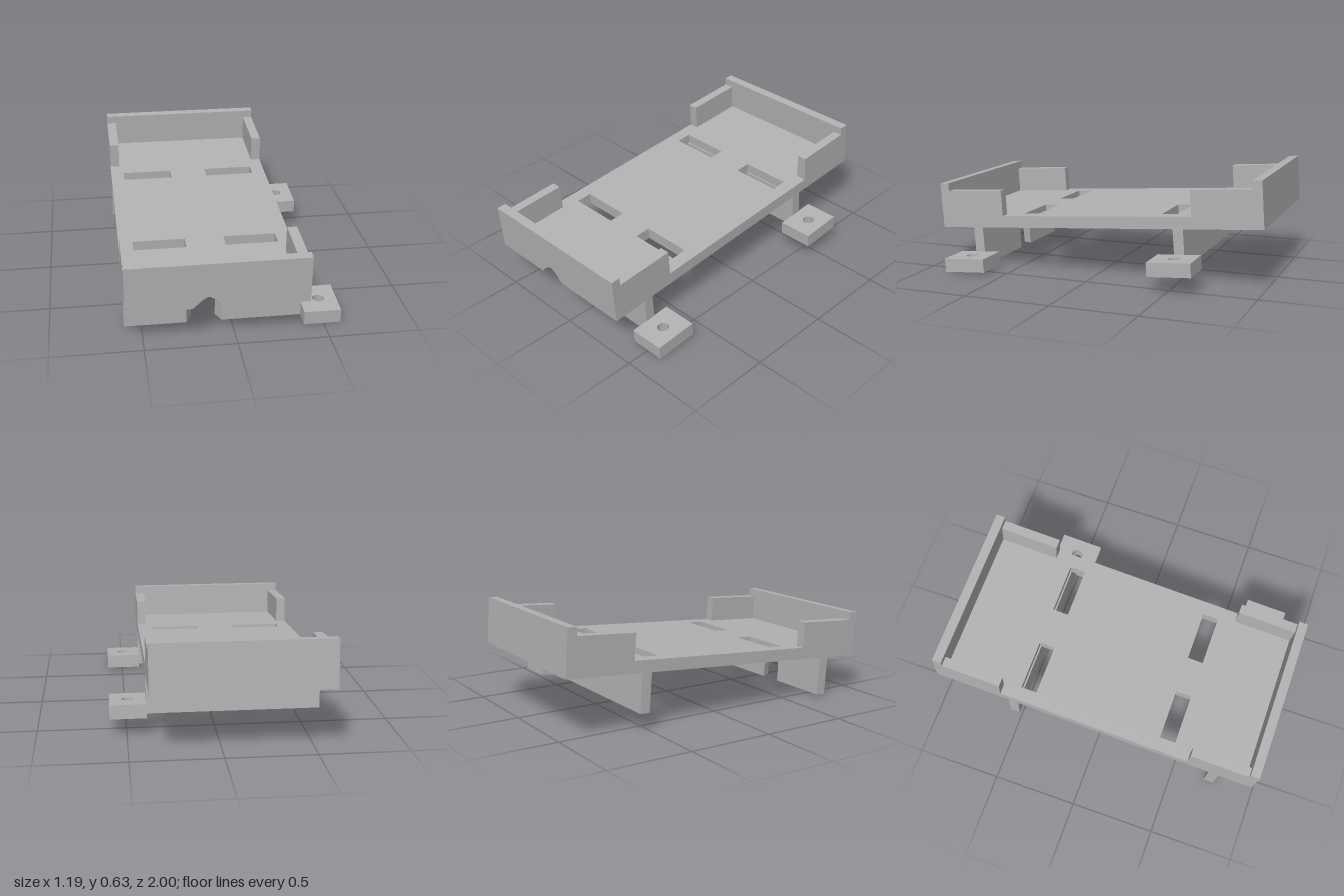
import * as THREE from 'three';

const X0 = -0.595, X1 = 0.392, W = X1 - X0, CX = (X0 + X1) / 2;
const L = 0.9925;      // half length of the tray
const FLOOR = 0.07;    // floor thickness
const LIP = 0.0545;    // end wall thickness
const NOTCH = 0.11;    // depth of the relief under the front wall
const ARCH_X = -0.152, ARCH_Y = -0.1365;

const grey = new THREE.MeshStandardMaterial({ color: 0xb2b2b2 });
grey.name = 'grey plastic';

function mesh(name, geometry, parent) {
  const m = new THREE.Mesh(geometry, grey);
  m.name = name;
  parent.add(m);
  return m;
}

function box(x0, x1, y0, y1, z0, z1, sx = 1, sz = 1) {
  return new THREE.BoxGeometry(x1 - x0, y1 - y0, z1 - z0, sx, 1, sz)
    .translate((x0 + x1) / 2, (y0 + y1) / 2, (z0 + z1) / 2);
}

function rectangle(Type, x0, x1, z0, z1) {
  return new Type([[x0, -z1], [x1, -z1], [x1, -z0], [x0, -z0]]
    .map(([x, y]) => new THREE.Vector2(x, y)));
}

// Flat plate lying in x-z, extruded upward from y0
function plate(shape, y0, height) {
  return new THREE.ExtrudeGeometry(shape, { depth: height, bevelEnabled: false, curveSegments: 24 })
    .rotateX(-Math.PI / 2).translate(0, y0, 0);
}

// Raises the bottom vertices into a bell-shaped relief at the front edge
function carveRelief(geometry) {
  const p = geometry.attributes.position;
  for (let i = 0; i < p.count; i++) {
    if (p.getY(i) > 0.001) continue;
    const r = Math.hypot((p.getX(i) - ARCH_X) / 0.085, (L - p.getZ(i)) / NOTCH);
    if (r < 1) p.setY(i, 0.069 * (1 - Math.pow(r, 1.4)));
  }
  const flat = geometry.toNonIndexed();
  flat.computeVertexNormals();
  return flat;
}

// Outline of the front leg with an arched opening of the given radius
function archOutline(r, bottom) {
  const pts = [[X0, bottom], [ARCH_X - r, bottom]];
  for (let i = 0; i <= 24; i++) {
    const a = Math.PI * (1 - i / 24);
    pts.push([ARCH_X + r * Math.cos(a), ARCH_Y + r * Math.sin(a)]);
  }
  pts.push([ARCH_X + r, bottom], [X1, bottom], [X1, 0.01], [X0, 0.01]);
  return pts.map(([x, y]) => new THREE.Vector2(x, y));
}

// Panel whose opening widens from back to front
function flaredPanel(rBack, rFront, bottom, zBack, zFront) {
  const back = archOutline(rBack, bottom), front = archOutline(rFront, bottom);
  const pos = [];
  const put = (v, z) => pos.push(v.x, v.y, z);
  for (const [a, b, c] of THREE.ShapeUtils.triangulateShape(front, [])) {
    put(front[a], zFront); put(front[b], zFront); put(front[c], zFront);
  }
  for (const [a, b, c] of THREE.ShapeUtils.triangulateShape(back, [])) {
    put(back[a], zBack); put(back[c], zBack); put(back[b], zBack);
  }
  for (let i = 0; i < back.length; i++) {
    const j = (i + 1) % back.length;
    put(back[i], zBack); put(back[j], zBack); put(front[j], zFront);
    put(back[i], zBack); put(front[j], zFront); put(front[i], zFront);
  }
  const g = new THREE.BufferGeometry();
  g.setAttribute('position', new THREE.Float32BufferAttribute(pos, 3));
  g.computeVertexNormals();
  return g;
}

export function createModel() {
  const model = new THREE.Group();
  model.name = 'slottedTray';
  const tray = new THREE.Group();
  tray.name = 'tiltedTray';
  tray.rotation.x = 0.0706;
  tray.position.set(0, 0.29, -0.01);
  model.add(tray);

  // Floor with four strap slots
  const floor = rectangle(THREE.Shape, X0, X1, -L, L - NOTCH);
  for (const z of [-0.435, 0.435])
    for (const x of [-0.365, 0.16])
      floor.holes.push(rectangle(THREE.Path, x - 0.15, x + 0.15, z - 0.047, z + 0.047));
  mesh('floor', plate(floor, 0, FLOOR), tray);

  // End walls, the front one relieved underneath
  mesh('backWall', box(X0, X1, 0, 0.27, -L, -L + LIP), tray);
  mesh('frontWall', carveRelief(box(X0, X1, 0, 0.27, L - LIP, L, 120, 8)), tray);
  mesh('frontFloorStrip', carveRelief(box(X0, X1, 0, FLOOR, L - NOTCH, L - LIP, 120, 8)), tray);

  // Corner side walls
  for (const [end, s] of [['front', 1], ['back', -1]]) {
    const z = [s * 0.585, s * (L - LIP)].sort((a, b) => a - b);
    mesh(end + 'LeftSideWall', box(X1 - 0.057, X1, FLOOR, 0.222, z[0], z[1]), tray);
    mesh(end + 'RightSideWall', box(X0, X0 + 0.057, FLOOR, 0.222, z[0], z[1]), tray);
  }

  // Legs: the front one has a flared arch, the back one is plain
  mesh('frontLeg', flaredPanel(0.067, 0.0975, -0.228, 0.727, 0.787), tray);
  mesh('backLeg', box(X0, X1, -0.225, 0.01, -0.533, -0.473), tray);

  // Mounting tabs with screw holes
  for (const [name, z, y] of [['frontMountingTab', 0.758, -0.228], ['backMountingTab', -0.503, -0.225]]) {
    const tab = rectangle(THREE.Shape, X1 - 0.003, 0.595, z - 0.127, z + 0.127);
    const hole = new THREE.Path();
    hole.absarc(0.493, -z, 0.033, 0, Math.PI * 2, true);
    tab.holes.push(hole);
    mesh(name, plate(tab, y, 0.08), tray);
  }
  return model;
}
